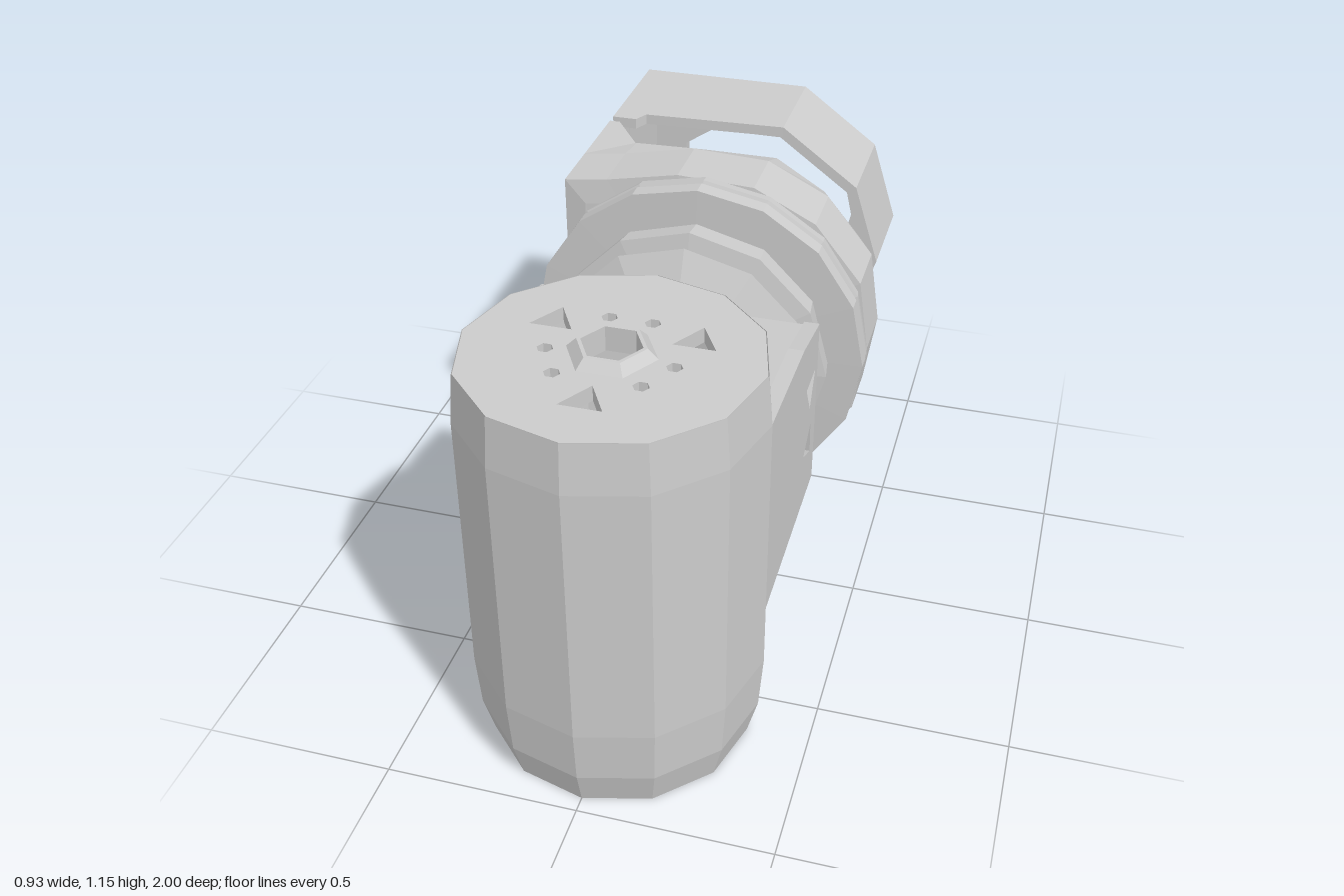
import * as THREE from 'three';

const CY = 0.69; // height of the horizontal joint axis

const material = new THREE.MeshStandardMaterial({ color: 0xcccccc, flatShading: true, side: THREE.DoubleSide });

// Regular polygon as [x, y] points, counter-clockwise
function ngon(n, r, cx = 0, cy = 0, turn = 0) {
  return Array.from({ length: n }, (_, i) => {
    const a = turn + (i / n) * Math.PI * 2;
    return [cx + r * Math.cos(a), cy + r * Math.sin(a)];
  });
}

// Skin a list of [z, outline] sections, running from high z to low z on outer faces
function loft(sections) {
  const pos = [];
  for (let k = 0; k + 1 < sections.length; k++) {
    const [z0, p] = sections[k], [z1, q] = sections[k + 1];
    for (let i = 0; i < p.length; i++) {
      const j = (i + 1) % p.length;
      const a = [...p[i], z0], b = [...p[j], z0], c = [...q[j], z1], d = [...q[i], z1];
      pos.push(...a, ...d, ...b, ...b, ...d, ...c);
    }
  }
  const g = new THREE.BufferGeometry();
  g.setAttribute('position', new THREE.Float32BufferAttribute(pos, 3));
  g.computeVertexNormals();
  return g;
}

function plate(outline, depth, holes = []) {
  const vec = (pts) => pts.map(([x, y]) => new THREE.Vector2(x, y));
  const shape = new THREE.Shape(vec(outline));
  shape.holes = holes.map((h) => new THREE.Path(vec(h)));
  return new THREE.ExtrudeGeometry(shape, { depth, bevelEnabled: false });
}

// Upper half of an outline mirrored downwards; the first point lies on y = 0
function mirrorY(half) {
  return [...half, ...half.slice(1).reverse().map(([x, y]) => [x, -y])];
}

const inset = (pts, s) => pts.map(([x, y]) => [x * s, y * s]);

export function createModel() {
  const model = new THREE.Group();
  const add = (name, geometry, parent = model) => {
    const mesh = new THREE.Mesh(geometry, material);
    mesh.name = name;
    parent.add(mesh);
    return mesh;
  };

  // Upright hollow housing, built along z and turned to stand along y
  const housing = new THREE.Group();
  housing.name = 'uprightHousing';
  housing.rotation.x = -Math.PI / 2;
  housing.position.z = 0.62;
  model.add(housing);
  const body = [[1.1, 0.365], [0.97, 0.376], [0.25, 0.376], [0.1, 0.365], [0, 0.338], [0, 0.3], [0.25, 0.33], [1.06, 0.33]];
  add('housingShell', loft(body.map(([y, r]) => [y, ngon(12, r)])), housing);

  // Top cap with hub opening, screw holes and triangular slots
  const deg = Math.PI / 180;
  const capHoles = [ngon(6, 0.08)];
  for (const a of [70, 110, 188, 228, 312, 352])
    capHoles.push(ngon(6, 0.02, 0.155 * Math.cos(a * deg), 0.155 * Math.sin(a * deg)));
  for (const a of [30, 150, 270])
    capHoles.push(ngon(3, 0.06, 0.2 * Math.cos(a * deg), 0.2 * Math.sin(a * deg), (a + 180) * deg));
  add('topCap', plate(ngon(12, 0.363), 0.04, capHoles).translate(0, 0, 1.06), housing);
  add('topHub', loft([[1.06, 0.075], [1.125, 0.075], [1.125, 0.085], [1.1, 0.11]]
    .map(([y, r]) => [y, ngon(6, r)])), housing);

  // Arm: two cheeks with triangular openings
  const arm = new THREE.Group();
  arm.name = 'arm';
  model.add(arm);
  const cheek = [[0.08, 0.44], [0.62, 0.42], [0.62, 0.97], [0.27, 0.955], [0.08, 0.92]];
  const cheekHoles = [ngon(3, 0.06, 0.16, 0.77, 0.5), ngon(3, 0.055, 0.16, 0.6, 2)];
  for (const side of [-1, 1]) {
    const g = plate(cheek, 0.04, cheekHoles).rotateY(-Math.PI / 2); // depth runs to -x, outline x to z
    add(side > 0 ? 'leftCheek' : 'rightCheek', g.translate(side > 0 ? 0.375 : -0.335, 0, 0), arm);
  }

  // Arm top and bottom plates wrapping the housing, sloped toward the joint
  const wrap = ngon(12, 0.36, 0, -0.62).slice(0, 7);
  const plan = [[-0.37, -0.62], [-0.37, -0.08], [-0.04, -0.08], [0, -0.24], [0.04, -0.08], [0.37, -0.08], [0.37, -0.62], ...wrap];
  const slope = (g, rule) => {
    const p = g.attributes.position;
    for (let i = 0; i < p.count; i++) p.setY(i, p.getY(i) + rule(p.getZ(i)));
    g.computeVertexNormals();
    return g;
  };
  const turned = () => plate(plan, 0.04).rotateX(-Math.PI / 2);
  add('armTop', slope(turned(), (z) => 0.872 + 0.105 * Math.min(z - 0.08, 0.54) * 1.0), arm);
  add('armBottom', slope(turned(), (z) => 0.443 - 0.037 * (z - 0.08)), arm);

  // Joint: stacked neck and collar rings around the horizontal axis
  const joint = new THREE.Group();
  joint.name = 'joint';
  joint.position.y = CY;
  model.add(joint);
  const rings = (name, list, n, turn = 0) => add(name, loft(list.map(([z, r]) => [z, ngon(n, r, 0, 0, turn)])), joint);
  rings('neck', [[0.09, 0.001], [0.09, 0.23], [0.06, 0.27], [0.02, 0.36], [-0.02, 0.33], [-0.03, 0.38], [-0.1, 0.37]], 12);
  rings('collarRing', [[-0.1, 0.3], [-0.105, 0.465], [-0.15, 0.465], [-0.16, 0.445], [-0.17, 0.465], [-0.2, 0.46], [-0.2, 0.36]], 16);
  rings('innerDisc', [[-0.2, 0.4], [-0.26, 0.38], [-0.26, 0.24], [-0.36, 0.22], [-0.36, 0.14], [-0.22, 0.12], [-0.22, 0.001]], 10, 0.3);

  // Collar: rounded toward +x, square against the flat -x wall
  const wide = mirrorY([[0.46, 0], [0.43, 0.2], [0.3, 0.36], [0.13, 0.445], [-0.08, 0.455], [-0.28, 0.415], [-0.4, 0.4]]);
  const narrow = mirrorY([[0.4, 0], [0.37, 0.2], [0.27, 0.32], [0.13, 0.405], [-0.08, 0.405], [-0.28, 0.4], [-0.4, 0.4]]);
  add('collar', loft([[-0.19, inset(wide, 0.85)], [-0.2, wide], [-0.37, wide], [-0.475, narrow],
    [-0.475, inset(narrow, 0.92)], [-0.36, inset(wide, 0.88)], [-0.2, inset(wide, 0.85)]]), joint);

  // Flat wall on the -x side joining the collar, drilled with triangular holes
  const wallHoles = [[-0.52, 0.29], [-0.57, 0.09], [-0.49, -0.01], [-0.57, -0.11], [-0.52, -0.3]]
    .map(([z, y], i) => ngon(3, 0.032, z, y, i * 1.1));
  const rect = (a, b) => [[a, -0.4], [b, -0.4], [b, 0.4], [a, 0.4]];
  add('collarWall', plate(rect(-0.6, -0.44), 0.03, wallHoles).rotateY(-Math.PI / 2).translate(-0.37, 0, 0), joint);

  // End bracket: open ring with a flat side wall and an inward back flange
  const end = mirrorY([[0.4, 0], [0.325, 0.235], [0.1, 0.4], [-0.15, 0.4], [-0.4, 0.4]]);
  const opening = mirrorY([[0.27, 0], [0.23, 0.17], [0.08, 0.28], [-0.12, 0.28], [-0.27, 0.18]]);
  add('endRing', loft([[-0.69, end], [-1, end], [-1, opening], [-0.97, opening],
    [-0.97, inset(end, 0.92)], [-0.69, inset(end, 0.92)], [-0.69, end]]), joint);
  add('endWall', plate(rect(-0.72, -0.63), 0.03, [ngon(3, 0.025, -0.67, 0.2), ngon(3, 0.025, -0.67, -0.25)])
    .rotateY(-Math.PI / 2).translate(-0.37, 0, 0), joint);

  // Corner gussets along the top and bottom of both walls
  const gussets = {
    collarGusset: [[-0.4, 0.6], [-0.4, 0.47], [-0.28, 0.47], [-0.37, 0.6]],
    endGusset: [[-0.4, 0.69], [-0.4, 0.63], [-0.33, 0.63], [-0.31, 0.67], [0.1, 0.69]],
  };
  for (const [name, outline] of Object.entries(gussets))
    for (const y of [-0.4, 0.37])
      add(name, plate(outline, 0.03).rotateX(-Math.PI / 2).translate(0, y, 0), joint);

  return model;
}
